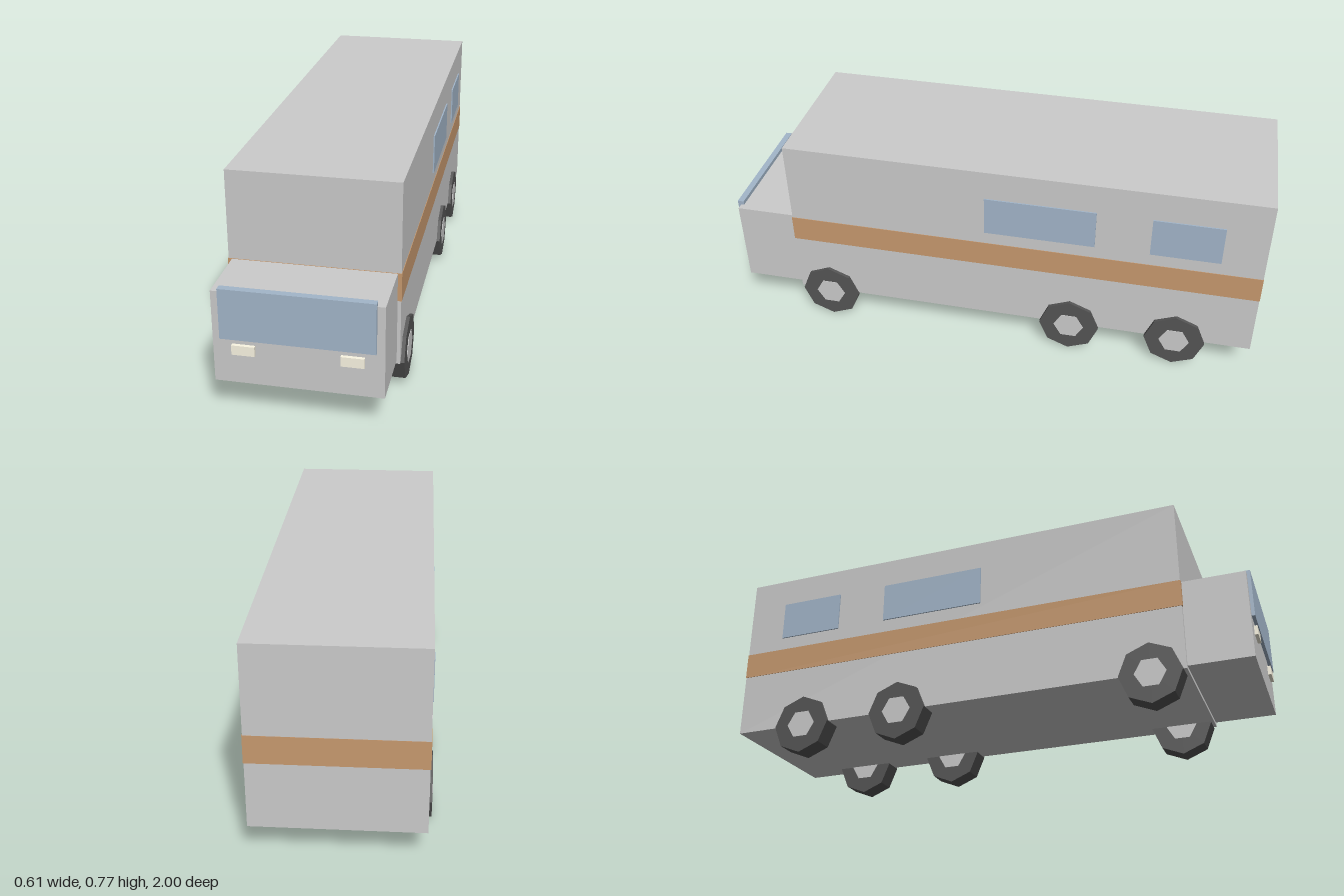
import * as THREE from 'three';

const paint = (color) => new THREE.MeshStandardMaterial({ color, flatShading: true });

export function createModel() {
  const grey = paint(0xcccccc);
  const glass = paint(0xa3b6ca);
  const orange = paint(0xc89a6f);
  const rubber = paint(0x555555);
  const cream = paint(0xfbf6e3);

  const van = new THREE.Group();
  van.name = 'camperVan';

  // Box given by its lower and upper limits on each axis
  function addBox(name, material, [x0, x1], [y0, y1], [z0, z1]) {
    const mesh = new THREE.Mesh(new THREE.BoxGeometry(x1 - x0, y1 - y0, z1 - z0), material);
    mesh.position.set((x0 + x1) / 2, (y0 + y1) / 2, (z0 + z1) / 2);
    mesh.name = name;
    van.add(mesh);
  }

  // Living compartment, cab and the stripe around the body
  addBox('body', grey, [-0.289, 0.289], [0.115, 0.767], [-0.999, 0.762]);
  addBox('cab', grey, [-0.277, 0.277], [0.128, 0.452], [0.7, 0.988]);
  addBox('stripe', orange, [-0.291, 0.291], [0.353, 0.453], [-1, 0.764]);

  // Windscreen, standing slightly above the cab roof
  addBox('windscreen', glass, [-0.251, 0.251], [0.29, 0.467], [0.976, 1]);

  for (const side of [-1, 1]) {
    const label = side > 0 ? 'left' : 'right';
    const span = (a, b) => (side > 0 ? [a, b] : [-b, -a]);

    addBox(`${label}Headlight`, cream, span(0.138, 0.214), [0.236, 0.27], [0.97, 1]);

    // Side windows
    addBox(`${label}MiddleWindow`, glass, span(0.275, 0.294), [0.504, 0.655], [-0.396, 0.01]);
    addBox(`${label}RearWindow`, glass, span(0.275, 0.294), [0.504, 0.655], [-0.846, -0.594]);

    // Octagonal tyres with hexagonal hubs running right through
    for (const [axle, z] of [['front', 0.638], ['middle', -0.317], ['rear', -0.718]]) {
      const wheel = new THREE.Group();
      wheel.name = `${label}${axle[0].toUpperCase()}${axle.slice(1)}Wheel`;
      const tyre = new THREE.Mesh(new THREE.CylinderGeometry(0.113, 0.113, 0.075, 8), rubber);
      tyre.name = 'tyre';
      const hub = new THREE.Mesh(new THREE.CylinderGeometry(0.057, 0.057, 0.079, 6), grey);
      hub.name = 'hub';
      wheel.add(tyre, hub);
      wheel.rotation.z = Math.PI / 2;
      wheel.position.set(side * 0.264, 0.113, z);
      van.add(wheel);
    }
  }
  return van;
}
